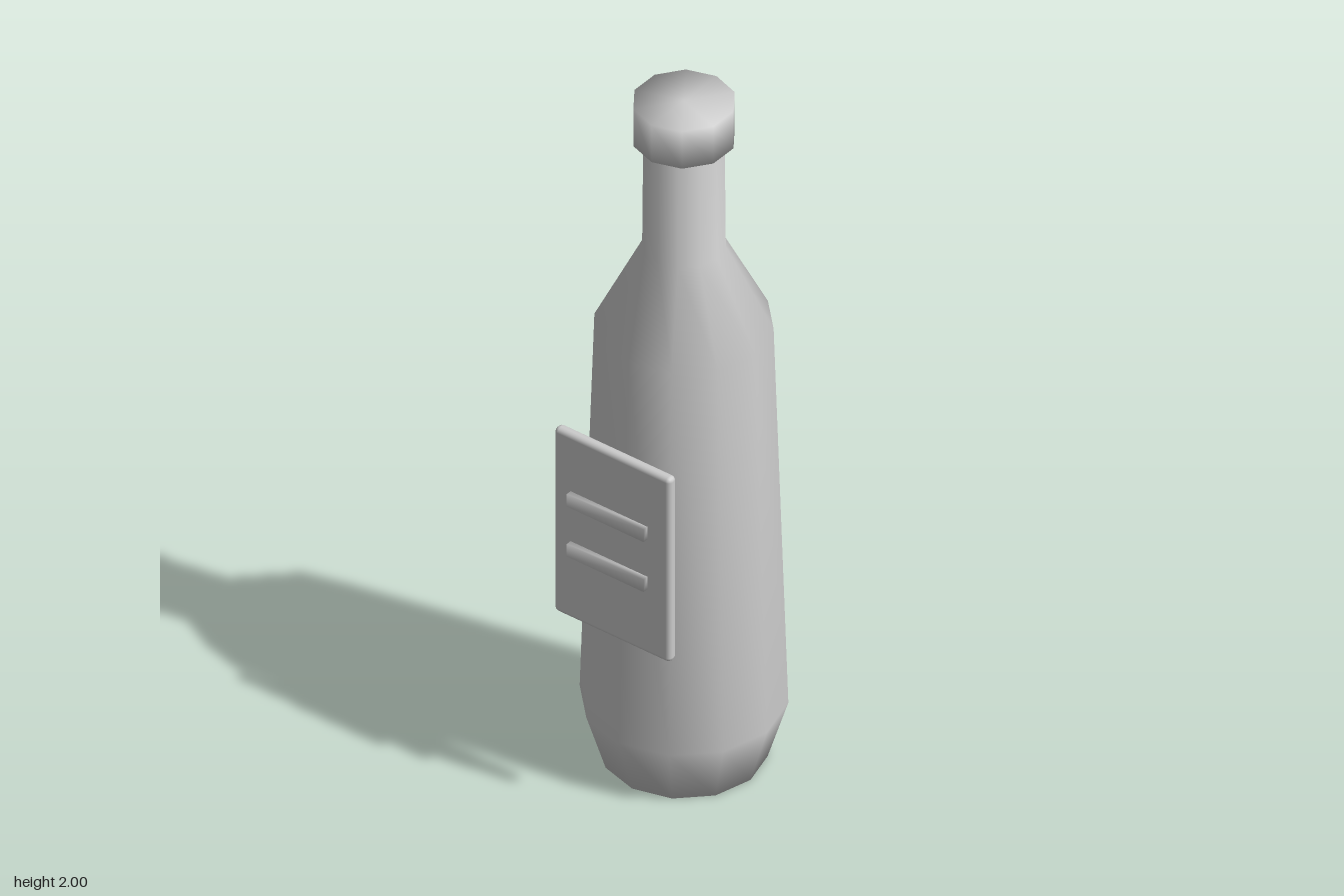
import * as THREE from 'three';
import { mergeVertices } from 'three/addons/utils/BufferGeometryUtils.js';
import { RoundedBoxGeometry } from 'three/addons/geometries/RoundedBoxGeometry.js';

const AXIS_Z = -0.029; // the bottle stands slightly behind the label

// Share corner vertices so shading runs smoothly over every edge
function smooth(geometry) {
  geometry.deleteAttribute('normal');
  geometry.deleteAttribute('uv');
  const merged = mergeVertices(geometry, 1e-4);
  merged.computeVertexNormals();
  return merged;
}

function turned(profile, sides) {
  const points = profile.map(([r, y]) => new THREE.Vector2(r, y));
  return smooth(new THREE.LatheGeometry(points, sides));
}

export function createModel() {
  const model = new THREE.Group();
  model.name = 'bottle';
  const grey = new THREE.MeshStandardMaterial({ color: 0xcccccc });
  grey.name = 'light grey';

  function add(name, geometry, x, y, z) {
    const mesh = new THREE.Mesh(geometry, grey);
    mesh.name = name;
    mesh.position.set(x, y, z);
    model.add(mesh);
  }

  // Body, shoulder and neck
  add('body', turned([
    [0, 0], [0.21, 0], [0.262, 0.17], [0.225, 1.32],
    [0.105, 1.56], [0.102, 1.92], [0, 1.92],
  ], 12), 0, 0, AXIS_Z);

  // Ten-sided cap
  add('cap', turned([[0, 1.886], [0.131, 1.886], [0.131, 2], [0, 2]], 10), 0, 0, AXIS_Z);

  // Label plate floating at the front, with two raised bars
  add('label', new RoundedBoxGeometry(0.366, 0.566, 0.031, 2, 0.013), 0, 0.796, 0.248);
  for (const [name, y] of [['upperBar', 0.896], ['lowerBar', 0.742]]) {
    add(name, smooth(new THREE.BoxGeometry(0.243, 0.038, 0.016)), 0, y, 0.281);
  }
  return model;
}
